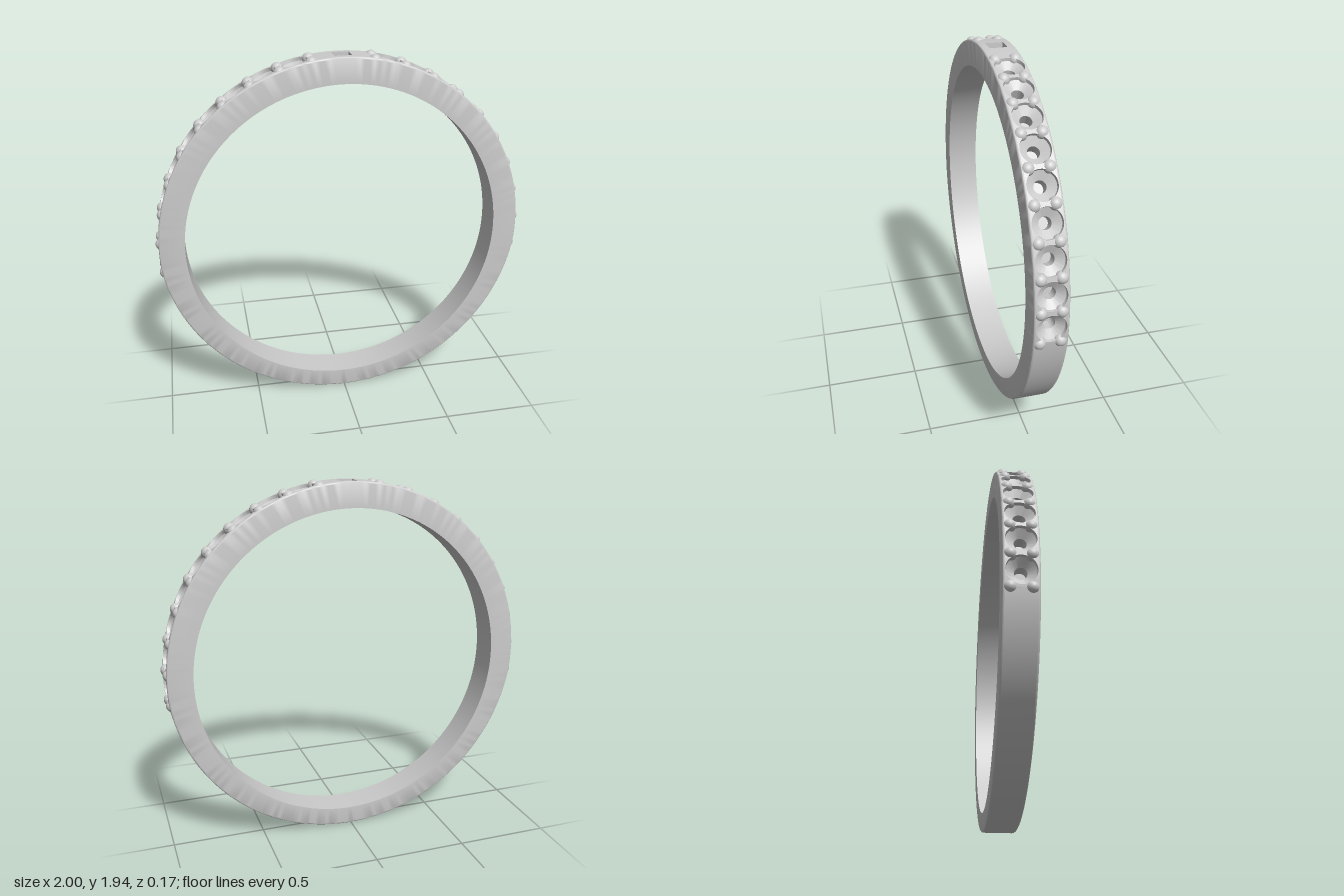
import * as THREE from 'three';
import { toCreasedNormals } from 'three/addons/utils/BufferGeometryUtils.js';

const DEG = Math.PI / 180;
const CY = 0.95;          // height of the ring centre
const R = 0.985;          // outer radius of the upper part
const INNER = 0.85;
const HALF = 0.085;       // half band width
const FLAT = 0.075;       // half width of the outer face inside the edge rounding
const FIRST = -7, LAST = 80.4, SEATS = 9;
const STEP = (LAST - FIRST) / SEATS;

// The shank gets thinner towards the bottom
const outerRadius = (a) => R - 0.035 * Math.max(0, -Math.sin(a) - 0.122) / 0.878;

// Grid of loops (rows of points) turned into a smooth, crease-aware surface
function skin(rows) {
  const pos = [];
  const tri = (a, b, c) => pos.push(...a, ...b, ...c);
  for (let i = 0; i < rows.length - 1; i++) {
    for (let k = 0; k < rows[i].length - 1; k++) {
      const a = rows[i][k], b = rows[i][k + 1], c = rows[i + 1][k + 1], d = rows[i + 1][k];
      tri(a, b, c);
      tri(a, c, d);
    }
  }
  const g = new THREE.BufferGeometry();
  g.setAttribute('position', new THREE.Float32BufferAttribute(pos, 3));
  return toCreasedNormals(g, 0.6);
}

// Sweep a cross-section of [radius, z] points around the ring
function sweep(profile, a0, a1, n) {
  const rows = [];
  for (let i = 0; i <= n; i++) {
    const a = a0 + (a1 - a0) * i / n;
    rows.push(profile(outerRadius(a)).map(([r, z]) => [r * Math.cos(a), CY + r * Math.sin(a), z]));
  }
  return skin(rows);
}

// Points around a unit square, counter-clockwise and closed
function unitSquare(n) {
  const pts = [];
  for (let s = 0; s < 4; s++) {
    for (let i = 0; i < n; i++) {
      const t = -1 + 2 * i / n;
      pts.push([[1, t], [-t, 1], [-1, -t], [t, -1]][s]);
    }
  }
  pts.push(pts[0]);
  return pts;
}

// Piece of the outer face with a recess; each loop maps a square point to [u, v], at a depth
function recessedCell(angle, loops) {
  const square = unitSquare(12);
  const c = Math.cos(angle), s = Math.sin(angle);
  return skin(loops.map(([shape, depth]) => square.map((p) => {
    const [u, v] = shape(p);
    const r = depth > 0 ? R - depth : Math.sqrt(R * R - u * u);
    return [r * c - u * s, CY + r * s + u * c, v];
  })));
}

const rect = (hu, hv) => ([p, q]) => [hu * p, hv * q];
const circle = (r) => ([p, q]) => {
  const l = Math.hypot(p, q);
  return [r * p / l, r * q / l];
};

export function createModel() {
  const ring = new THREE.Group();
  ring.name = 'ring';
  const metal = new THREE.MeshStandardMaterial({ color: 0xcccccc });
  const add = (geometry, name, parent = ring) => {
    const mesh = new THREE.Mesh(geometry, metal);
    mesh.name = name;
    parent.add(mesh);
    return mesh;
  };

  // Band: rounded edges, flat sides and the inner face
  const edge = [0, 1, 2, 3, 4].map((i) => {
    const t = i / 4 * Math.PI / 2, f = HALF - FLAT;
    return [f * (1 - Math.cos(t)), FLAT + f * Math.sin(t)];
  });
  add(sweep((ro) => [
    ...edge.map(([d, z]) => [ro - d, -z]),
    [INNER, -HALF], [INNER, HALF],
    ...edge.map(([d, z]) => [ro - d, z]).reverse(),
  ], 0, Math.PI * 2, 240), 'band');

  // Plain outer face of the lower shank
  add(sweep((ro) => [[ro, FLAT], [ro, -FLAT]],
    (180 - FIRST) * DEG, (360 + FIRST) * DEG, 110), 'shankOuterFace');

  // Square recess at the top
  const topHalf = R * Math.sin((90 - LAST) * DEG);
  add(recessedCell(Math.PI / 2, [
    [rect(topHalf, FLAT), 0],
    [rect(0.105, 0.06), 0],
    [rect(0.045, 0.045), 0],
    [rect(0.045, 0.045), 0.06],
    [rect(0, 0), 0.06],
  ]), 'topSquareRecess');

  // Stone seats and prongs down both shoulders
  const cellHalf = R * Math.sin(STEP / 2 * DEG);
  const prongShape = new THREE.CapsuleGeometry(0.032, 0.03, 8, 20);
  for (const side of ['left', 'right']) {
    const shoulder = new THREE.Group();
    shoulder.name = side + 'Shoulder';
    ring.add(shoulder);
    const at = (deg) => (side === 'left' ? deg : 180 - deg) * DEG;

    for (let i = 0; i < SEATS; i++) {
      add(recessedCell(at(FIRST + (i + 0.5) * STEP), [
        [rect(cellHalf, FLAT), 0],
        [circle(0.073), 0],
        [circle(0.071), 0.018],
        [circle(0.03), 0.045],
        [circle(0.03), 0.1],
        [rect(0, 0), 0.1],
      ]), 'stoneSeat', shoulder);
    }

    for (let i = 0; i <= SEATS; i++) {
      const a = at(FIRST + i * STEP);
      for (const z of [-0.05, 0.05]) {
        const prong = add(prongShape, 'prong', shoulder);
        const r = 0.953;
        prong.position.set(r * Math.cos(a), CY + r * Math.sin(a), z);
        prong.rotation.z = a - Math.PI / 2;
      }
    }
  }
  return ring;
}
